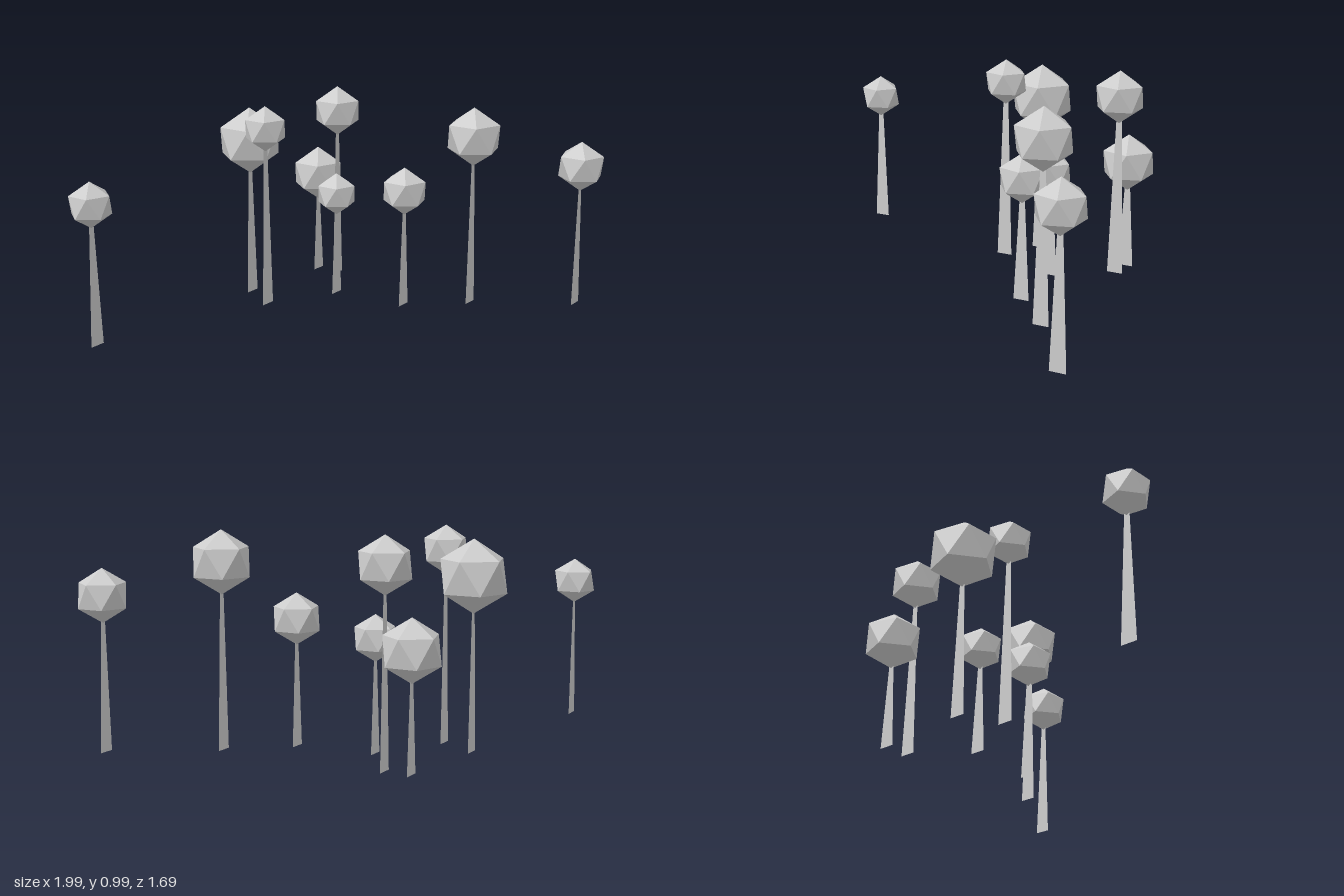
import * as THREE from 'three';

// One entry per tree: x, z, crown centre height, crown radius
const TREES = [
  [0.89, 0.743, 0.697, 0.121],
  [0.6, 0.314, 0.839, 0.143],
  [0.377, 0.067, 0.579, 0.117],
  [0.335, -0.309, 0.515, 0.105],
  [0.597, -0.62, 0.523, 0.138],
  [0.596, -0.494, 0.868, 0.126],
  [0, -0.484, 0.882, 0.11],
  [0.104, -0.668, 0.782, 0.164],
  [-0.9, -0.755, 0.665, 0.107],
];
const BASE_HALF = 0.039;
const TOP_HALF = 0.0135;

// Flat trunk card tapering from the ground into the underside of the crown
function trunkGeometry(height) {
  return new THREE.ShapeGeometry(new THREE.Shape([
    new THREE.Vector2(-BASE_HALF, 0),
    new THREE.Vector2(BASE_HALF, 0),
    new THREE.Vector2(TOP_HALF, height),
    new THREE.Vector2(-TOP_HALF, height),
  ]));
}

// Icosahedron turned so that one corner points straight up
function crownGeometry(radius) {
  const golden = (1 + Math.sqrt(5)) / 2;
  return new THREE.IcosahedronGeometry(radius, 0).rotateZ(-Math.atan(1 / golden));
}

export function createModel() {
  const crownMaterial = new THREE.MeshStandardMaterial({ color: 0xcccccc, flatShading: true });
  const trunkMaterial = new THREE.MeshStandardMaterial({ color: 0xcccccc, side: THREE.DoubleSide });
  const grove = new THREE.Group();
  grove.name = 'grove';

  TREES.forEach(([x, z, height, radius], i) => {
    const tree = new THREE.Group();
    tree.name = `tree${i + 1}`;
    tree.position.set(x, 0, z);

    const trunk = new THREE.Mesh(trunkGeometry(height - radius * 0.85), trunkMaterial);
    trunk.name = 'trunk';

    const crown = new THREE.Mesh(crownGeometry(radius), crownMaterial);
    crown.name = 'crown';
    crown.position.y = height;

    tree.add(trunk, crown);
    grove.add(tree);
  });
  return grove;
}
